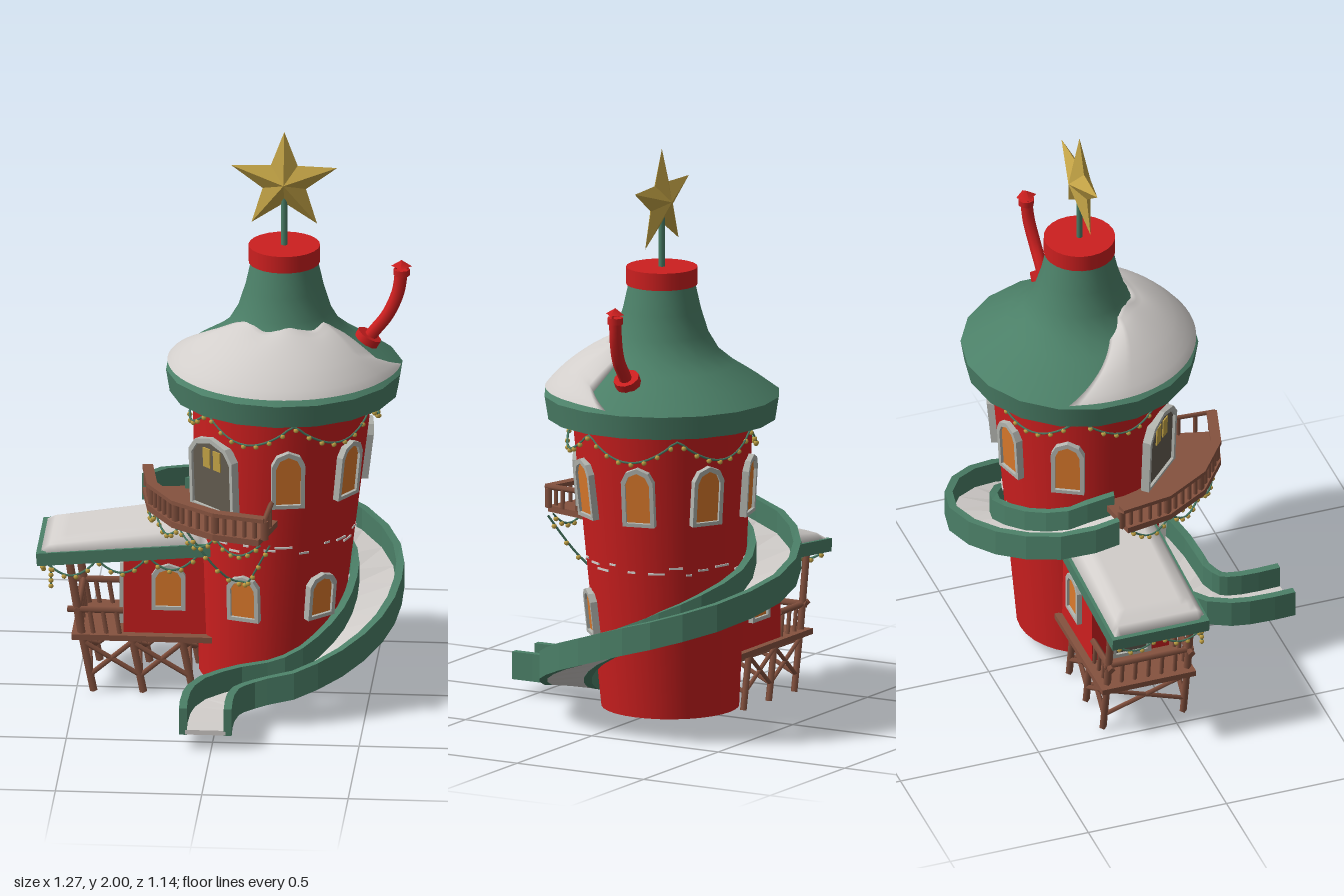
import * as THREE from 'three';
import { ParametricGeometry } from 'three/addons/geometries/ParametricGeometry.js';

const V = (x, y, z) => new THREE.Vector3(x, y, z);
const CX = 0.2, CZ = -0.1, LEAN = 0.05, FOOT_X = 0.141; // roof axis, and the wall's slight lean in x
const rad = THREE.MathUtils.degToRad;
const around = (deg, r, y) => V(CX + r * Math.sin(rad(deg)), y, CZ + r * Math.cos(rad(deg)));
const onWall = (deg, y) => around(deg, 0.235 + 0.075 * (y - 0.05) / 1.04, y).add(V(FOOT_X + LEAN * y - CX, 0, 0));

function material(name, color, side = THREE.FrontSide) {
  const m = new THREE.MeshStandardMaterial({ color, side });
  m.name = name;
  return m;
}

// Rectangular section carried along a curve, kept upright, with hard edges
function sweep(curve, x0, x1, y0, y1, n) {
  const pos = [], rings = [];
  for (let i = 0; i <= n; i++) {
    const p = curve.getPoint(i / n), t = curve.getTangent(i / n);
    const s = V(t.z, 0, -t.x).normalize();
    rings.push([[x0, y0], [x1, y0], [x1, y1], [x0, y1]].map(([a, b]) => p.clone().addScaledVector(s, a).add(V(0, b, 0))));
  }
  const quad = (a, b, c, d) => [a, b, c, a, c, d].forEach(p => pos.push(p.x, p.y, p.z));
  for (let i = 0; i < n; i++) {
    const a = rings[i], b = rings[i + 1];
    for (let j = 0; j < 4; j++) quad(a[j], a[(j + 1) % 4], b[(j + 1) % 4], b[j]);
  }
  const [s, e] = [rings[0], rings[n]];
  quad(s[3], s[2], s[1], s[0]);
  quad(e[0], e[1], e[2], e[3]);
  const g = new THREE.BufferGeometry();
  g.setAttribute('position', new THREE.Float32BufferAttribute(pos, 3));
  g.computeVertexNormals();
  return g;
}

function archShape(w, h) {
  return new THREE.Shape([[-w, 0], [w, 0], [w, h * 0.76], [w * 0.7, h * 0.92], [0, h], [-w * 0.7, h * 0.92], [-w, h * 0.76]]
    .map(([x, y]) => new THREE.Vector2(x, y)));
}

// Five-pointed star with raised centres on both faces
function starGeometry(R, r, depth) {
  const pos = [];
  const pt = i => {
    const a = Math.PI / 2 + i * Math.PI / 5, q = i % 2 ? r : R;
    return [q * 1.04 * Math.cos(a), q * Math.sin(a), 0];
  };
  for (let i = 0; i < 10; i++) {
    pos.push(...pt(i), ...pt(i + 1), 0, 0, depth);
    pos.push(...pt(i + 1), ...pt(i), 0, 0, -depth);
  }
  const g = new THREE.BufferGeometry();
  g.setAttribute('position', new THREE.Float32BufferAttribute(pos, 3));
  g.computeVertexNormals();
  return g;
}

export function createModel() {
  const root = new THREE.Group();
  const red = material('red paint', 0xcc1f1f, THREE.DoubleSide);
  const green = material('green paint', 0x4b7f67, THREE.DoubleSide);
  const snow = material('snow', 0xd2cecb, THREE.DoubleSide);
  const wood = material('brown wood', 0x85523f);
  const glow = material('orange glass', 0xdc7a2c);
  const gold = material('gold', 0xc2a245);
  const trim = material('grey trim', 0xb4b6b0);
  const doorMat = material('dark door', 0x635c50);

  const add = (name, geo, mat, p = V(0, 0, 0), parent = root) => {
    const m = new THREE.Mesh(geo, mat);
    m.name = name;
    m.position.copy(p);
    parent.add(m);
    return m;
  };
  const rod = (name, a, b, r, mat, sides = 4) => {
    const m = add(name, new THREE.CylinderGeometry(r, r, a.distanceTo(b), sides), mat, a.clone().lerp(b, 0.5));
    m.quaternion.setFromUnitVectors(V(0, 1, 0), b.clone().sub(a).normalize());
    return m;
  };
  const lathe = (name, pts, mat, seg) =>
    add(name, new THREE.LatheGeometry(pts.map(p => new THREE.Vector2(...p)), seg), mat, V(CX, 0, CZ));

  // Slightly leaning tower wall, open below
  const wall = lathe('towerWall', [[0.235, 0.05], [0.31, 1.09]], red, 32);
  wall.geometry.applyMatrix4(new THREE.Matrix4().makeShear(0, 0, LEAN, 0, 0, 0));
  wall.position.x = FOOT_X;

  // Roof
  lathe('roofUnderside', [[0.29, 1.09], [0.392, 1.07]], green, 18);
  lathe('roofRim', [[0.392, 1.07], [0.405, 1.15]], green, 18);
  lathe('roof', [[0.405, 1.15], [0.33, 1.205], [0.25, 1.255], [0.195, 1.3], [0.16, 1.36], [0.135, 1.44], [0.115, 1.53]], green, 18);
  add('roofCap', new THREE.CylinderGeometry(0.122, 0.122, 0.06, 24), red, V(CX, 1.56, CZ));
  rod('starPole', V(CX, 1.58, CZ), V(CX, 1.78, CZ), 0.011, green, 8);
  add('star', starGeometry(0.183, 0.075, 0.04), gold, V(CX, 1.817, CZ));

  // Snow drift over the front of the roof
  const drift = new ParametricGeometry((u, v, t) => {
    const left = -115 + 34 * v, right = 92 - 15 * Math.min(1, v * 3);
    const edge = Math.min(1, Math.min(u, 1 - u) * 8);
    const inner = 0.165 + 0.05 * (1 - edge) + 0.01 * Math.sin(u * 19);
    const r = 0.398 + (inner - 0.398) * v;
    const base = r > 0.33 ? 1.205 - (r - 0.33) * 0.733 : r > 0.195 ? 1.3 - (r - 0.195) * 0.704 : 1.3 + (0.195 - r) * 0.9;
    const bulge = 0.036 * Math.sqrt(Math.max(0, Math.sin(Math.PI * (0.03 + 0.95 * v)))) * Math.sqrt(edge);
    t.copy(around(left + (right - left) * u, r, base + 0.006 + bulge));
  }, 40, 12);
  add('roofSnow', drift, snow);

  // Bent chimney
  const flue = new THREE.CatmullRomCurve3([V(0.46, 1.2, -0.13), V(0.5, 1.265, -0.13), V(0.55, 1.33, -0.135), V(0.585, 1.41, -0.145), V(0.597, 1.49, -0.15)]);
  add('chimneyPipe', new THREE.TubeGeometry(flue, 16, 0.022, 8), red);
  rod('chimneyCollar', V(0.465, 1.215, -0.13), V(0.49, 1.258, -0.13), 0.045, red, 10);
  rod('chimneyLip', V(0.597, 1.47, -0.15), V(0.597, 1.492, -0.15), 0.028, red, 8);
  add('chimneyHood', new THREE.ConeGeometry(0.036, 0.022, 4), red, V(0.597, 1.514, -0.15));
  for (const s of [-1, 1]) rod('hoodStay', V(0.597 + s * 0.02, 1.485, -0.15), V(0.597 + s * 0.02, 1.51, -0.15), 0.004, red);

  // Arched window or door with frame
  function opening(name, p, yaw, tilt, w, h, paneMat) {
    const g = new THREE.Group();
    g.name = name;
    g.position.copy(p);
    g.rotation.order = 'YXZ';
    g.rotation.set(tilt, yaw, 0);
    root.add(g);
    const frame = archShape(w, h), inner = archShape(w - 0.014, h - 0.03);
    frame.holes.push(new THREE.Path(inner.getPoints().map(q => q.add(new THREE.Vector2(0, 0.013)))));
    add('frame', new THREE.ExtrudeGeometry(frame, { depth: 0.03, bevelEnabled: false }), trim, V(0, 0, -0.012), g);
    add('pane', new THREE.ExtrudeGeometry(archShape(w - 0.008, h - 0.014), { depth: 0.008, bevelEnabled: false }), paneMat, V(0, 0.006, 0), g);
    return g;
  }
  const onTower = (name, deg, y, w, h, mat) => opening(name, onWall(deg, y), rad(deg), 0.072 + LEAN * Math.sin(rad(deg)), w, h, mat);
  for (let i = 0; i < 6; i++) onTower('upperWindow', 11 + i * 46, 0.74, 0.057, 0.21, glow);
  onTower('lowerWindow', -17, 0.31, 0.057, 0.165, glow);
  onTower('lowerWindow', 43, 0.31, 0.057, 0.165, glow);
  const door = onTower('balconyDoor', -44, 0.69, 0.11, 0.27, doorMat);
  for (const s of [-1, 1]) add('doorPane', new THREE.BoxGeometry(0.035, 0.07, 0.005), gold, V(s * 0.026, 0.19, 0.01), door);

  // Worn streaks of snow on the tower wall
  for (let i = 0; i < 26; i++) {
    const y = 0.575 + 0.014 * Math.sin(i * 2.3), deg = i * 13.8 + 4 * Math.sin(i * 5);
    const m = add('snowStreak', new THREE.BoxGeometry(0.04 + 0.02 * Math.sin(i * 1.7), 0.007, 0.006), snow, onWall(deg, y));
    m.rotation.y = rad(deg);
  }

  // Spiral slide: bed with a wall on either side
  const slide = new THREE.CatmullRomCurve3([
    [-0.2, 0.64, -0.11], [-0.16, 0.59, -0.28], [-0.015, 0.535, -0.42], [0.2, 0.475, -0.48], [0.4, 0.41, -0.4],
    [0.5, 0.35, -0.25], [0.512, 0.295, -0.1], [0.47, 0.23, 0.06], [0.37, 0.16, 0.18], [0.24, 0.1, 0.24],
    [0.1, 0.07, 0.26], [0.01, 0.058, 0.32], [-0.02, 0.055, 0.42], [-0.02, 0.055, 0.57]].map(p => V(...p)));
  add('slideBed', sweep(slide, -0.07, 0.07, -0.005, 0.012, 26), snow);
  add('slideOuterWall', sweep(slide, 0.063, 0.09, -0.006, 0.09, 26), green);
  add('slideInnerWall', sweep(slide, -0.09, -0.063, -0.006, 0.09, 26), green);

  // Faceted balcony wrapping the front right of the tower
  const arc = (r, y, a, b) => new THREE.CatmullRomCurve3(Array.from({ length: 5 }, (_, i) => around(a + (b - a) * i / 4, r, y)));
  const railLine = arc(0.468, 0, -92, -4);
  add('balconyDeck', sweep(arc(0.385, 0.67, -92, -4), -0.1, 0.1, 0, 0.022, 4), wood);
  add('balconyRail', sweep(arc(0.468, 0.755, -92, -4), -0.018, 0.018, 0, 0.014, 4), wood);
  for (let i = 0; i <= 20; i++) {
    const p = railLine.getPoint(i / 20);
    rod('baluster', p.clone().setY(0.69), p.clone().setY(0.757), i % 5 ? 0.008 : 0.014, wood);
  }
  rod('balconyEndRail', around(-4, 0.31, 0.762), around(-4, 0.48, 0.762), 0.01, wood);
  for (const r of [0.35, 0.41]) rod('baluster', around(-4, r, 0.69), around(-4, r, 0.76), 0.008, wood);

  // Side house with sloping roof
  add('houseWalls', new THREE.BoxGeometry(0.3, 0.29, 0.28), red, V(-0.19, 0.345, -0.11));
  add('houseRoof', new THREE.BoxGeometry(0.6, 0.045, 0.35), green, V(-0.335, 0.505, -0.105)).rotation.z = 0.086;
  add('houseRoofSnow', new ParametricGeometry((u, v, t) => {
    const e = Math.min(1, 7 * Math.min(u, 1 - u), 5 * Math.min(v, 1 - v));
    t.set(-0.62 + 0.575 * u, 0.503 + 0.05 * u + (0.03 + 0.05 * u) * Math.sqrt(e), 0.062 - 0.33 * v);
  }, 20, 14), snow);
  opening('houseWindow', V(-0.185, 0.3, 0.03), 0, 0, 0.058, 0.165, glow);
  opening('houseWindow', V(-0.185, 0.3, -0.25), Math.PI, 0, 0.058, 0.165, glow);
  opening('houseDoor', V(-0.34, 0.215, -0.11), -Math.PI / 2, 0, 0.07, 0.23, doorMat);

  // Porch floor, stilts, braces and railings
  add('porchFloor', new THREE.BoxGeometry(0.48, 0.02, 0.34), wood, V(-0.275, 0.2, -0.105));
  const tops = [-0.48, -0.31, -0.14];
  for (const z of [0.045, -0.245]) {
    tops.forEach(x => rod('stilt', V(x, 0.2, z), V(x + 0.04, 0, z), 0.013, wood));
    for (let i = 0; i < 2; i++) {
      rod('brace', V(tops[i], 0.18, z), V(tops[i + 1] + 0.03, 0.06, z), 0.009, wood);
      rod('brace', V(tops[i] + 0.03, 0.06, z), V(tops[i + 1], 0.18, z), 0.009, wood);
    }
    rod('porchPost', V(-0.48, 0.2, z), V(-0.525, 0.48, z), 0.014, wood);
    rod('porchRail', V(-0.53, 0.295, z), V(-0.34, 0.295, z), 0.012, wood);
    for (let i = 0; i < 3; i++) rod('porchBaluster', V(-0.44 + i * 0.045, 0.2, z), V(-0.455 + i * 0.045, 0.295, z), 0.008, wood);
  }
  for (const x of tops) {
    rod('brace', V(x, 0.18, 0.045), V(x + 0.03, 0.06, -0.245), 0.009, wood);
    rod('brace', V(x + 0.03, 0.06, 0.045), V(x, 0.18, -0.245), 0.009, wood);
  }
  rod('porchRail', V(-0.497, 0.295, 0.06), V(-0.497, 0.295, -0.26), 0.012, wood);
  for (let i = 1; i < 6; i++) rod('porchBaluster', V(-0.485, 0.2, 0.045 - i * 0.048), V(-0.497, 0.295, 0.045 - i * 0.048), 0.008, wood);

  // Light garlands: hanging wire with small bulbs
  const bulb = new THREE.SphereGeometry(0.009, 6, 5);
  function garland(at, swags, sag, bulbs) {
    const n = swags * 8, pts = [];
    const point = u => at(u).add(V(0, -sag * Math.sin(Math.PI * ((u * swags) % 1)), 0));
    for (let i = 0; i <= n; i++) pts.push(point(i / n));
    for (let i = 0; i < bulbs; i++) add('bulb', bulb, gold, point((i + 0.5) / bulbs).add(V(0, -0.007, 0)));
    add('garlandWire', new THREE.TubeGeometry(new THREE.CatmullRomCurve3(pts), n * 2, 0.004, 4), green);
  }
  garland(u => around(-50 + 360 * u, 0.322, 1.045), 6, 0.075, 44);
  garland(u => around(-88 + 82 * u, 0.46, 0.665), 4, 0.045, 22);
  garland(u => around(-42 + 40 * u, 0.31 + 0.15 * Math.abs(1 - 2 * u), 0.665), 1, 0.2, 10);
  garland(u => V(-0.6 + 0.52 * u, 0.465 + 0.045 * u, 0.06), 3, 0.05, 13);
  garland(u => V(-0.615, 0.465, 0.06 - 0.33 * u), 2, 0.04, 8);
  garland(u => V(-0.585, 0.46 - 0.08 * u, 0.06), 1, 0, 4);
  return root;
}
